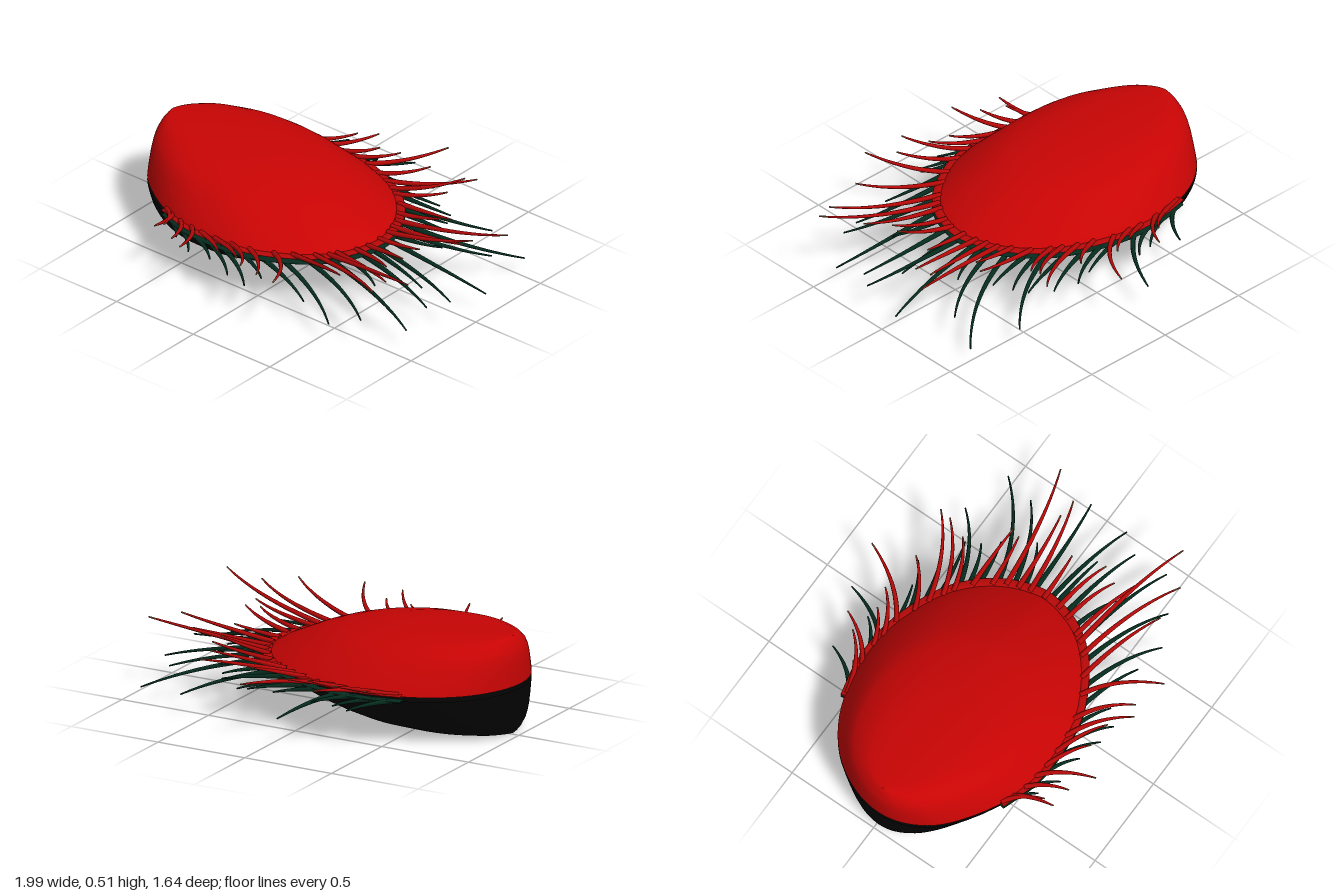
import * as THREE from 'three';

const mat = (name, color) => {
  const m = new THREE.MeshStandardMaterial({ color, side: THREE.DoubleSide });
  m.name = name;
  return m;
};

// Rim outline seen from above (x, z), starting at the hinge and going round the back
const OUTLINE = [
  [-1, 0.03], [-0.985, -0.09], [-0.935, -0.21], [-0.855, -0.32], [-0.735, -0.415], [-0.59, -0.48], [-0.4, -0.52],
  [-0.2, -0.52], [0, -0.47], [0.2, -0.37], [0.36, -0.2], [0.44, 0], [0.44, 0.1], [0.39, 0.26], [0.31, 0.37],
  [0.2, 0.46], [0, 0.56], [-0.2, 0.585], [-0.4, 0.575], [-0.6, 0.51], [-0.79, 0.395], [-0.89, 0.305],
  [-0.95, 0.215], [-0.985, 0.13],
].map(([x, z]) => new THREE.Vector3(x, 0, z));

// Growth rings of a valve: [scale towards the hinge, height]
const RINGS = [[1, 0], [0.96, 0.035], [0.9, 0.075], [0.83, 0.12], [0.76, 0.156], [0.69, 0.184], [0.54, 0.219],
  [0.4, 0.234], [0.25, 0.241], [0.1, 0.244], [0.001, 0.244]];

// Tentacles: base x, base z, tip x, tip z
const RED_TENTACLES = [
  [-0.55, -0.48, -0.42, -0.54], [-0.48, -0.5, -0.3, -0.63], [-0.38, -0.51, -0.23, -0.71], [-0.27, -0.52, -0.13, -0.6],
  [-0.2, -0.51, -0.02, -0.63], [-0.1, -0.5, 0.13, -0.82], [0, -0.46, 0.2, -0.6], [0.08, -0.43, 0.47, -0.64],
  [0.15, -0.39, 0.45, -0.57], [0.2, -0.36, 0.42, -0.47], [0.28, -0.3, 0.6, -0.29], [0.34, -0.22, 0.58, -0.24],
  [0.38, -0.16, 0.98, -0.27], [0.4, -0.1, 0.8, -0.14], [0.42, -0.04, 0.88, -0.12], [0.43, 0.04, 0.66, 0.03],
  [0.43, 0.13, 0.7, 0.21], [0.41, 0.2, 0.66, 0.29], [0.36, 0.29, 0.75, 0.4], [0.34, 0.33, 0.97, 0.49],
  [0.29, 0.38, 0.82, 0.58], [0.2, 0.45, 0.62, 0.6], [0.12, 0.5, 0.36, 0.81], [0, 0.55, 0.2, 0.75],
  [-0.1, 0.57, 0.13, 0.79], [-0.2, 0.58, 0.03, 0.7], [-0.29, 0.58, -0.1, 0.69], [-0.36, 0.57, -0.24, 0.82],
  [-0.44, 0.56, -0.36, 0.74], [-0.51, 0.54, -0.48, 0.73], [-0.57, 0.51, -0.47, 0.67],
];
const GREEN_TENTACLES = [
  [-0.52, -0.49, -0.4, -0.68], [-0.43, -0.51, -0.27, -0.6], [-0.32, -0.52, -0.17, -0.63], [-0.22, -0.52, -0.07, -0.8],
  [-0.12, -0.5, 0.1, -0.55], [-0.03, -0.48, 0.22, -0.6], [0.05, -0.45, 0.32, -0.53], [0.13, -0.41, 0.44, -0.47],
  [0.22, -0.35, 0.61, -0.59], [0.26, -0.32, 0.48, -0.4], [0.3, -0.28, 0.54, -0.32], [0.35, -0.2, 0.88, -0.52],
  [0.39, -0.13, 0.82, -0.34], [0.41, -0.08, 0.64, -0.17], [0.42, -0.03, 0.99, -0.09], [0.43, 0.06, 0.96, 0.15],
  [0.43, 0.1, 0.75, 0.12], [0.42, 0.17, 0.89, 0.25], [0.39, 0.25, 0.62, 0.33], [0.35, 0.32, 0.91, 0.43],
  [0.26, 0.4, 0.73, 0.57], [0.16, 0.48, 0.58, 0.64], [0.06, 0.53, 0.4, 0.62], [-0.05, 0.56, 0.14, 0.64],
  [-0.15, 0.58, 0.08, 0.7], [-0.25, 0.58, -0.03, 0.7], [-0.34, 0.58, -0.17, 0.67], [-0.45, 0.56, -0.32, 0.66],
  [-0.54, 0.53, -0.44, 0.61],
];

// Domed half shell; dir is +1 for the upper and -1 for the lower valve
function valveGeometry(dir) {
  const N = 72;
  const rim = new THREE.CatmullRomCurve3(OUTLINE, true).getPoints(N).slice(0, N);
  const pos = [], idx = [];
  RINGS.forEach(([s, h]) => {
    const shift = 0.045 * Math.pow(h / 0.244, 5), sz = 0.975 * Math.pow(s, 1.13);
    rim.forEach((p) => pos.push(-1 + shift + (p.x + 1) * 0.975 * s, dir * h, 0.025 + (p.z - 0.025) * sz));
  });
  for (let k = 0; k < RINGS.length - 1; k++) {
    for (let i = 0; i < N; i++) {
      const a = k * N + i, b = k * N + (i + 1) % N, c = b + N, d = a + N;
      if (dir > 0) idx.push(a, c, b, a, d, c);
      else idx.push(a, b, c, a, c, d);
    }
  }
  const g = new THREE.BufferGeometry();
  g.setAttribute('position', new THREE.Float32BufferAttribute(pos, 3));
  g.setIndex(idx);
  g.computeVertexNormals();
  return g;
}

// Round tube narrowing to a fine tip; the last segment is a second material group
function taperedTube(curve, r0, r1) {
  const segs = 16, sides = 7;
  const g = new THREE.TubeGeometry(curve, segs, r0, sides, false);
  const p = g.attributes.position, v = new THREE.Vector3();
  for (let i = 0; i <= segs; i++) {
    const c = curve.getPointAt(i / segs), k = THREE.MathUtils.lerp(1, r1 / r0, Math.pow(i / segs, 1.3));
    for (let j = 0; j <= sides; j++) {
      const n = i * (sides + 1) + j;
      v.fromBufferAttribute(p, n).sub(c).multiplyScalar(k).add(c);
      p.setXYZ(n, v.x, v.y, v.z);
    }
  }
  const perSegment = sides * 6;
  g.addGroup(0, (segs - 1) * perSegment, 0);
  g.addGroup((segs - 1) * perSegment, perSegment, 1);
  return g;
}

// Fringe of tentacles sweeping away from the hinge, then curling outward
function tentacles(name, rows, y, dir, materials) {
  const group = new THREE.Group();
  group.name = name;
  rows.forEach(([bx, bz, tx, tz], i) => {
    const dx = tx - bx, dz = tz - bz, len = Math.hypot(dx, dz);
    const rise = dir * len * (0.08 + 0.2 * ((i * 0.618) % 1));
    const curve = new THREE.QuadraticBezierCurve3(
      new THREE.Vector3(bx - 0.03, y, bz * 0.97),
      new THREE.Vector3(bx + dx * 0.6, y + rise * 0.4, bz + dz * 0.25),
      new THREE.Vector3(tx, y + rise, tz));
    const m = new THREE.Mesh(taperedTube(curve, 0.014, 0.004), materials);
    m.name = 'tentacle';
    group.add(m);
  });
  return group;
}

export function createModel() {
  const red = mat('shell red', 0xc80404);
  const fringeRed = mat('fringe red', 0xb80808);
  const tipBrown = mat('tip brown', 0x8a5238);
  const black = mat('shell black', 0x030303);
  const green = mat('fringe dark green', 0x052c1e);

  const model = new THREE.Group();
  model.name = 'fringedBivalve';
  const add = (name, geo, material, y) => {
    const m = new THREE.Mesh(geo, material);
    m.name = name;
    m.position.y = y;
    model.add(m);
    return m;
  };

  // Two valves with a narrow gap between them
  add('upperValve', valveGeometry(1), red, 0.267);
  add('lowerValve', valveGeometry(-1), black, 0.244);

  // Flattened mantle edges around the open side
  const edge = new THREE.CatmullRomCurve3(OUTLINE.slice(5, 20).map((p) =>
    new THREE.Vector3(-1 + (p.x + 1) * 0.985, 0, 0.03 + (p.z - 0.03) * 0.97)));
  const mantle = new THREE.TubeGeometry(edge, 70, 0.025, 8, false);
  add('upperMantle', mantle, fringeRed, 0.27).scale.y = 0.3;
  add('lowerMantle', mantle, green, 0.242).scale.y = 0.3;

  model.add(tentacles('upperTentacles', RED_TENTACLES, 0.274, 1, [fringeRed, tipBrown]));
  model.add(tentacles('lowerTentacles', GREEN_TENTACLES, 0.24, -1, [green, green]));
  return model;
}
